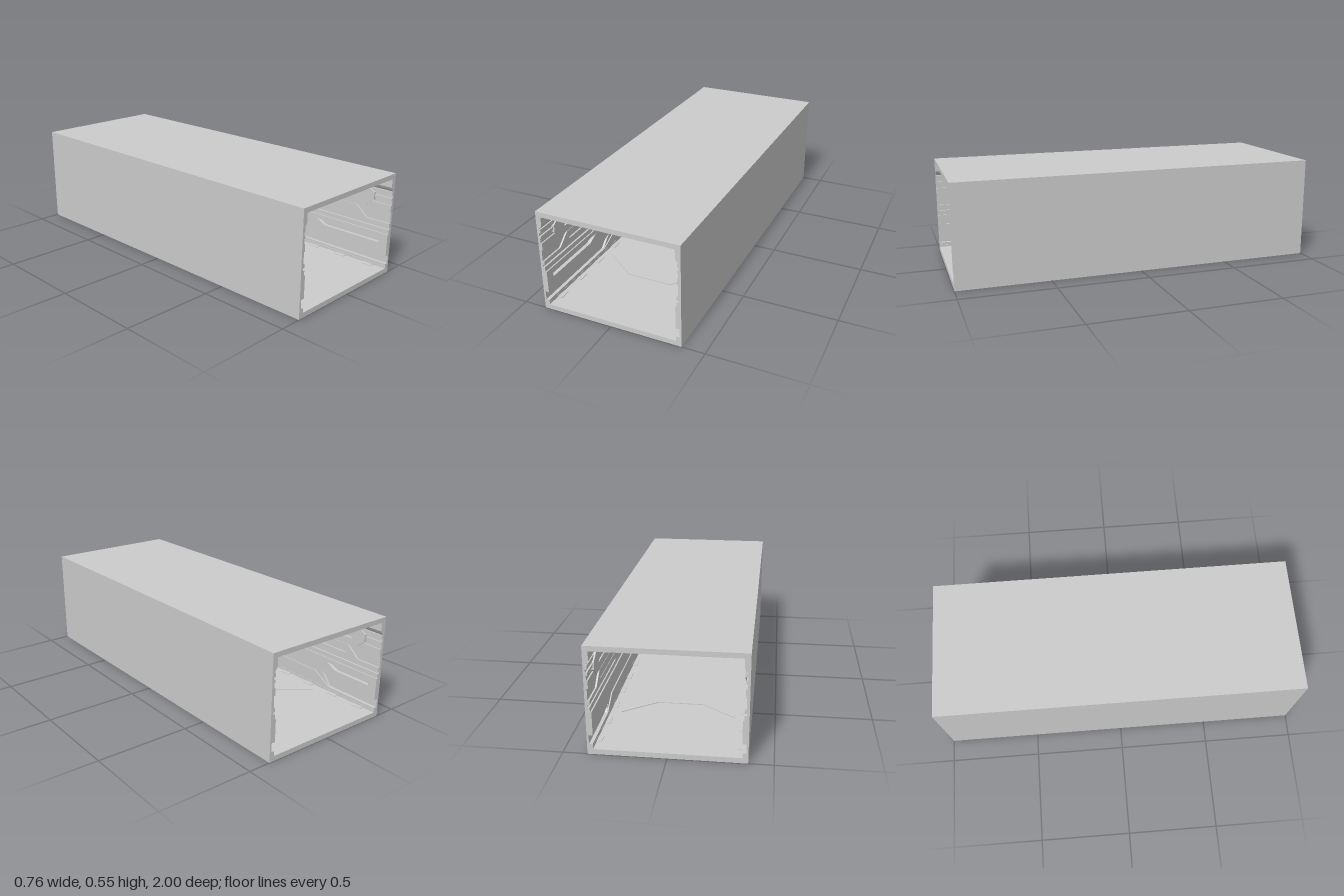
import * as THREE from 'three';

const material = new THREE.MeshStandardMaterial({ color: 0xcccccc, flatShading: true });
const BASE = 0.37; // x of the bare side wall inside the shell

function toShape(points) {
  return new THREE.Shape(points.map(([x, y]) => new THREE.Vector2(x, y)));
}

function extrude(points, depth, holes = []) {
  const shape = toShape(points);
  holes.forEach((h) => shape.holes.push(toShape(h)));
  return new THREE.ExtrudeGeometry(shape, { depth, bevelEnabled: false });
}

export function createModel() {
  const model = new THREE.Group();
  const add = (parent, name, geometry) => {
    const mesh = new THREE.Mesh(geometry, material);
    mesh.name = name;
    parent.add(mesh);
    return mesh;
  };

  // Square tube, with the opening running the full length
  const side = [[0.352, 0.027], [0.352, 0.039], [BASE, 0.053], [BASE, 0.455], [0.361, 0.465], [0.352, 0.48], [0.352, 0.527]];
  const opening = [...side, ...side.map(([x, y]) => [-x, y]).reverse()];
  const shell = add(model, 'corridorShell',
    extrude([[-0.38, 0], [0.38, 0], [0.38, 0.553], [-0.38, 0.553]], 2, [opening]));
  shell.position.z = -1;

  for (const s of [1, -1]) {
    const wall = new THREE.Group();
    wall.name = s > 0 ? 'leftWall' : 'rightWall';
    model.add(wall);

    // Plate on the side wall, outlined in (z, y), from the wall in to x = inner
    const plate = (name, outline, inner, holes = []) => {
      const turn = (pts) => pts.map(([z, y]) => [-s * z, y]);
      const g = extrude(turn(outline), BASE - inner, holes.map(turn));
      g.rotateY(s * Math.PI / 2).translate(s * inner, 0, 0);
      add(wall, name, g);
    };
    const strip = (name, y0, y1, inner, z0 = -1, z1 = 1) =>
      plate(name, [[z0, y0], [z1, y0], [z1, y1], [z0, y1]], inner);

    // Lower channel that steps up along the middle of the wall
    plate('skirting', [[-1, 0.04], [1, 0.04], [1, 0.053], [0.46, 0.053], [0.32, 0.115],
      [-0.57, 0.115], [-0.68, 0.053], [-1, 0.053]], 0.352);
    plate('lowerBand', [[-1, 0.1], [-0.7, 0.1], [-0.59, 0.15], [0.34, 0.15], [0.48, 0.1],
      [1, 0.1], [1, 0.22], [-1, 0.22]], 0.35, [
      [[-0.95, 0.165], [-0.72, 0.165], [-0.66, 0.195], [-0.95, 0.195]],
      [[0.95, 0.165], [0.6, 0.165], [0.54, 0.195], [0.95, 0.195]],
    ]);
    plate('channelFloor', [[-0.68, 0.053], [0.46, 0.053], [0.36, 0.15], [-0.6, 0.15]], 0.358);

    // Middle bands separated by grooves
    strip('lowerRail', 0.22, 0.246, 0.357);
    strip('middleRail', 0.258, 0.28, 0.357);
    strip('grooveBack', 0.246, 0.258, 0.367);
    strip('recessBack', 0.28, 0.34, 0.366);
    strip('upperRail', 0.34, 0.38, 0.36);
    strip('topRail', 0.405, 0.42, 0.361);
    strip('topStrip', 0.435, 0.456, 0.361);
    strip('upperGrooveBack', 0.38, 0.405, 0.367);
    strip('grooveFiller', 0.246, 0.258, 0.357, -0.45, 0.45);

    // Slanted panels inside the recess
    for (const [z0, z1] of [[-0.86, -0.36], [-0.24, 0.24], [0.36, 0.86]]) {
      plate('recessPanel', [[z0, 0.28], [z1, 0.28], [z1 - 0.07, 0.34], [z0 + 0.07, 0.34]], 0.357,
        [[[z0 + 0.08, 0.292], [z1 - 0.08, 0.292], [z1 - 0.11, 0.322], [z0 + 0.11, 0.322]]]);
    }

    // Raised upper panels with angled ends and a slot
    for (const [z0, z1] of [[-0.9, -0.34], [-0.26, 0.26], [0.34, 0.9]]) {
      plate('upperPanel', [[z0 + 0.05, 0.35], [z1 - 0.05, 0.35], [z1, 0.39], [z1, 0.43],
        [z1 - 0.06, 0.47], [z0 + 0.06, 0.47], [z0, 0.43], [z0, 0.39]], 0.353,
      [[[z0 + 0.08, 0.385], [z1 - 0.08, 0.385], [z1 - 0.12, 0.425], [z0 + 0.12, 0.425]]]);
    }

    // Small tabs along the floor and ceiling edges
    for (let i = 0; i < 11; i++) {
      for (const y of [0.028, 0.526]) {
        const tab = add(wall, 'edgeTab', new THREE.BoxGeometry(0.025, 0.004, 0.06));
        tab.position.set(s * 0.339, y, -0.9 + i * 0.18);
      }
    }
  }

  // Thin bent ribs across the floor and ceiling
  const w = 0.02;
  const line = [[-0.295, 0], [-0.12, 0.13], [0.12, 0.13], [0.295, 0]];
  const outline = [...line.map(([x, z]) => [x, z + w]), ...line.map(([x, z]) => [x, z - w]).reverse()];
  for (const z of [0.45, -0.6]) {
    for (const [name, y] of [['floorRib', 0.031], ['ceilingRib', 0.527]]) {
      const g = extrude(outline.map(([x, v]) => [x, v + z]), 0.005).rotateX(Math.PI / 2);
      add(model, name, g).position.y = y;
    }
  }
  return model;
}
